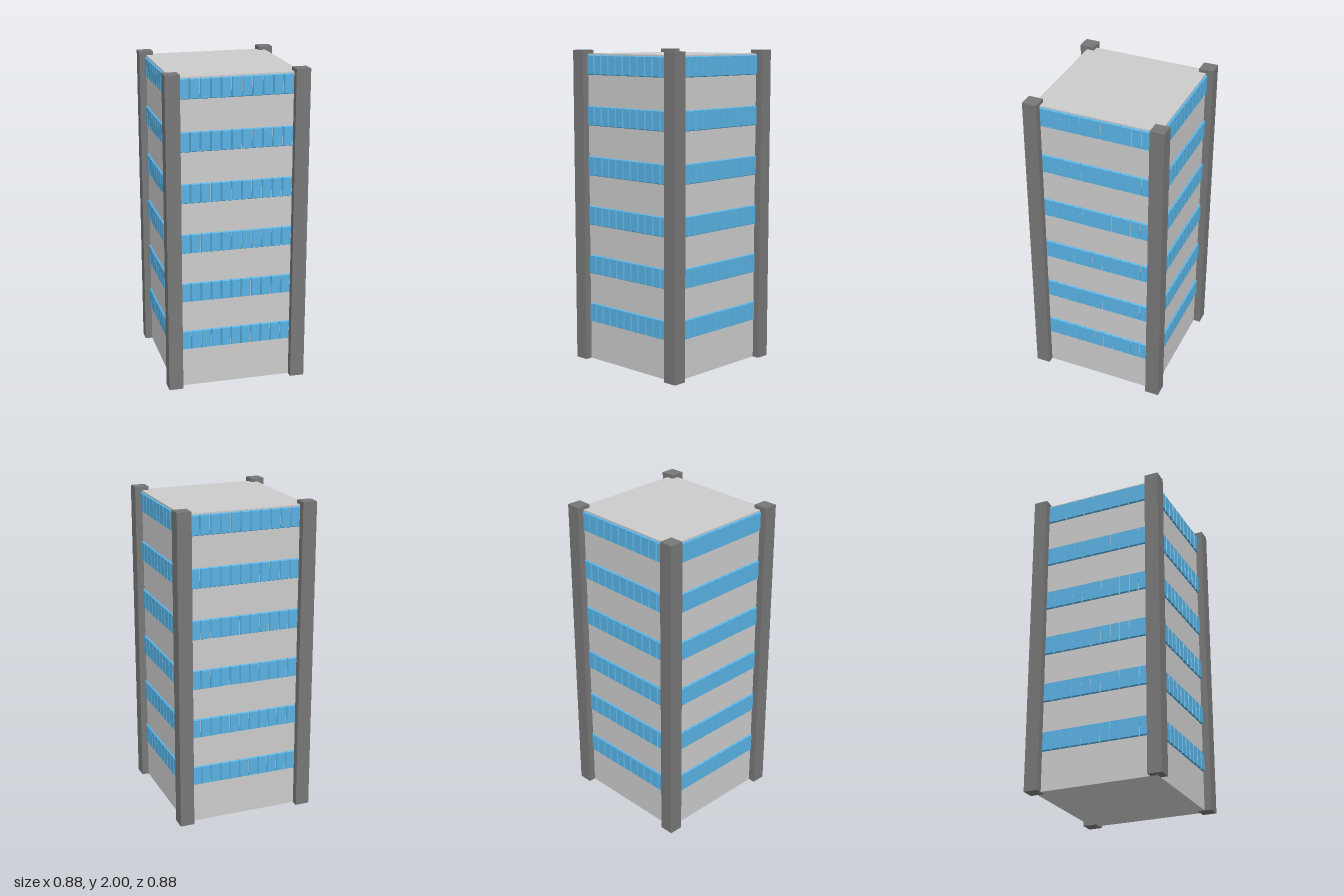
import * as THREE from 'three';
import { mergeGeometries } from 'three/addons/utils/BufferGeometryUtils.js';

const HALF = 0.397, ROOF = 1.978, INNER = 0.352, PILLAR = 0.09;
const ROWS = 6, COLS = 11, ROW_START = 0.25, ROW_STEP = 0.319;
const PANE_H = 0.124, PANE_D = 0.011, PITCH = (2 * INNER) / COLS, BEVEL = 0.005;

// A window pane whose outer face is smaller than its base
function paneGeometry() {
  const g = new THREE.BoxGeometry(PITCH - 0.001, PANE_H, PANE_D);
  const p = g.attributes.position;
  for (let i = 0; i < p.count; i++) {
    if (p.getZ(i) > 0) {
      p.setX(i, p.getX(i) - Math.sign(p.getX(i)) * BEVEL);
      p.setY(i, p.getY(i) - Math.sign(p.getY(i)) * BEVEL);
    }
  }
  g.computeVertexNormals();
  return g;
}

export function createModel() {
  const model = new THREE.Group();
  model.name = 'towerBlock';
  const wallMat = new THREE.MeshStandardMaterial({ color: 0xcccccc });
  const pillarMat = new THREE.MeshStandardMaterial({ color: 0x777777 });
  const glassMat = new THREE.MeshStandardMaterial({ color: 0x58b2e4 });

  function add(parent, name, geometry, material, x, y, z) {
    const mesh = new THREE.Mesh(geometry, material);
    mesh.name = name;
    mesh.position.set(x, y, z);
    parent.add(mesh);
  }

  // Main block
  add(model, 'body', new THREE.BoxGeometry(2 * HALF, ROOF, 2 * HALF), wallMat, 0, ROOF / 2, 0);

  // Corner pillars, rising a little above the roof
  const pillar = new THREE.BoxGeometry(PILLAR, 2, PILLAR);
  const c = INNER + PILLAR / 2;
  for (const [side, sx] of [['Left', 1], ['Right', -1]]) {
    for (const [end, sz] of [['front', 1], ['back', -1]]) {
      add(model, `${end}${side}Pillar`, pillar, pillarMat, sx * c, 1, sz * c);
    }
  }

  // One row of panes, reused on every floor of every side
  const panes = [];
  for (let i = 0; i < COLS; i++) {
    panes.push(paneGeometry().translate((i - (COLS - 1) / 2) * PITCH, 0, 0));
  }
  const row = mergeGeometries(panes);

  ['front', 'left', 'back', 'right'].forEach((side, k) => {
    const windows = new THREE.Group();
    windows.name = `${side}Windows`;
    windows.rotation.y = (k * Math.PI) / 2;
    for (let r = 0; r < ROWS; r++) {
      const y = ROW_START + PANE_H / 2 + r * ROW_STEP;
      add(windows, `windowRow${r + 1}`, row, glassMat, 0, y, HALF + PANE_D / 2);
    }
    model.add(windows);
  });

  return model;
}
